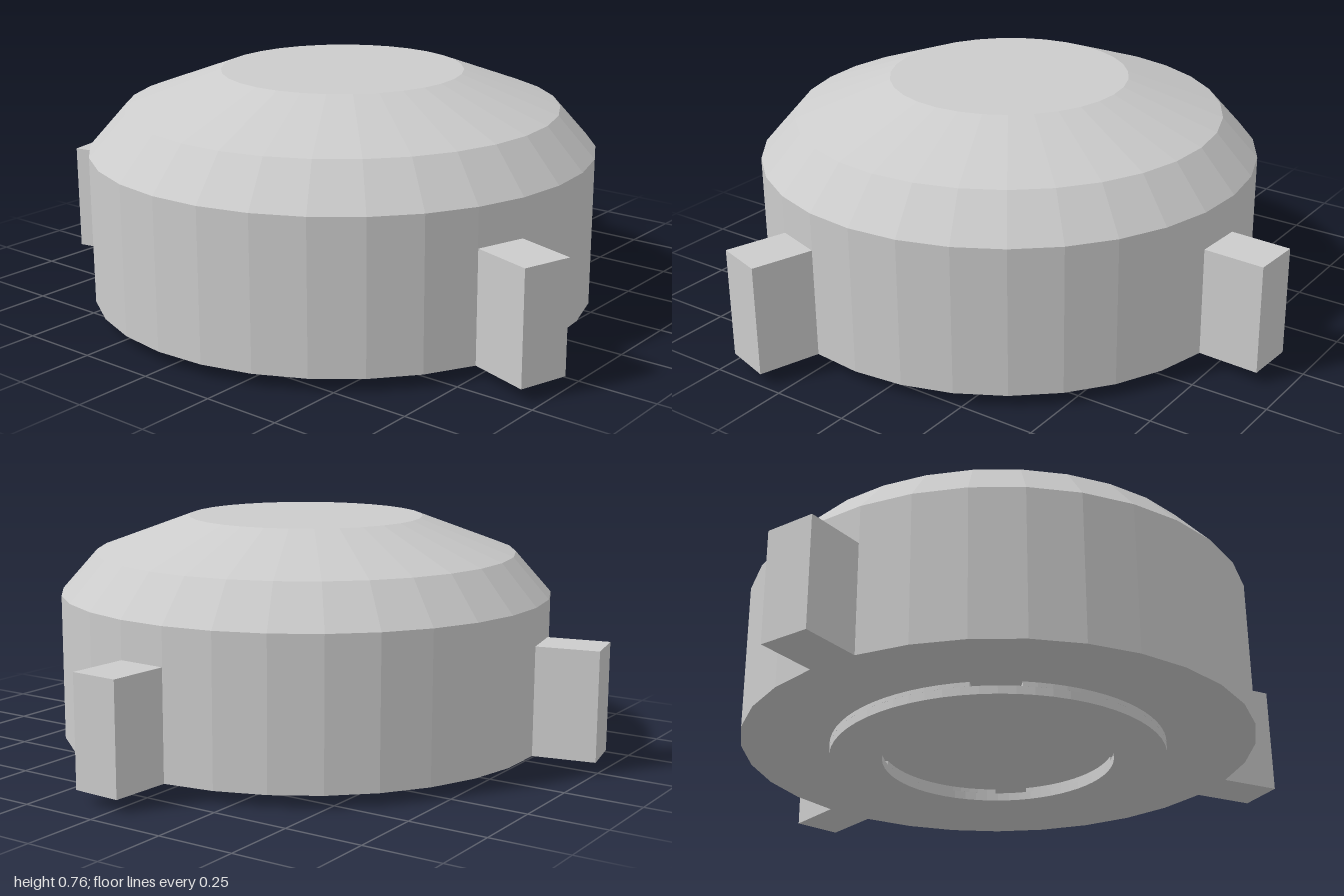
import * as THREE from 'three';

const SIDES = 31;
const STEP = (Math.PI * 2) / SIDES;
const deg = THREE.MathUtils.degToRad;

export function createModel() {
  const model = new THREE.Group();
  const material = new THREE.MeshStandardMaterial({ color: 0xcccccc, flatShading: true });
  const add = (name, geometry, parent) => {
    const mesh = new THREE.Mesh(geometry, material);
    mesh.name = name;
    parent.add(mesh);
    return mesh;
  };

  // Everything shares one vertical axis, set slightly off centre
  const cap = new THREE.Group();
  cap.name = 'cap';
  cap.position.set(0.007, 0, 0.1);
  model.add(cap);

  // Faceted drum with two sloped shoulders and a flat top
  const profile = [[0, 0.04], [0.815, 0.04], [0.815, 0.518], [0.698, 0.65], [0.389, 0.765], [0, 0.765]]
    .map(([r, y]) => new THREE.Vector2(r, y));
  add('body', new THREE.LatheGeometry(profile, SIDES, deg(3) - STEP / 2), cap);

  // Grip lugs, each square to one facet of the drum
  const inner = 0.76, outer = 1.013;
  [17.3, 168.3, -87.2].forEach((angle) => {
    const lug = new THREE.BoxGeometry(outer - inner, 0.355, 0.163);
    lug.translate((inner + outer) / 2, 0.2175, 0);
    add('gripLug', lug, cap).rotation.y = -deg(angle);
  });

  // Raised rim underneath: lower part is a full washer
  const rimOuter = 0.535, rimInner = 0.368, slotBottom = 0.026;
  const flat = (shape, depth, top, curveSegments) =>
    new THREE.ExtrudeGeometry(shape, { depth, bevelEnabled: false, curveSegments })
      .rotateX(Math.PI / 2).translate(0, top, 0);
  const washer = new THREE.Shape().absarc(0, 0, rimOuter, 0, Math.PI * 2, false);
  washer.holes.push(new THREE.Path().absarc(0, 0, rimInner, 0, Math.PI * 2, true));
  add('rim', flat(washer, slotBottom, slotBottom, SIDES), cap);

  // Upper part of the rim is broken by four shallow slots
  const slots = [-39.5, 41, 134, 230, 320.5];
  const half = 8.2;
  for (let i = 0; i < 4; i++) {
    const a = deg(slots[i] + half), b = deg(slots[i + 1] - half);
    const arc = new THREE.Shape().absarc(0, 0, rimOuter, a, b, false);
    arc.absarc(0, 0, rimInner, b, a, true);
    add('rimSegment', flat(arc, 0.04 - slotBottom, 0.04, 8), cap);
  }
  return model;
}
